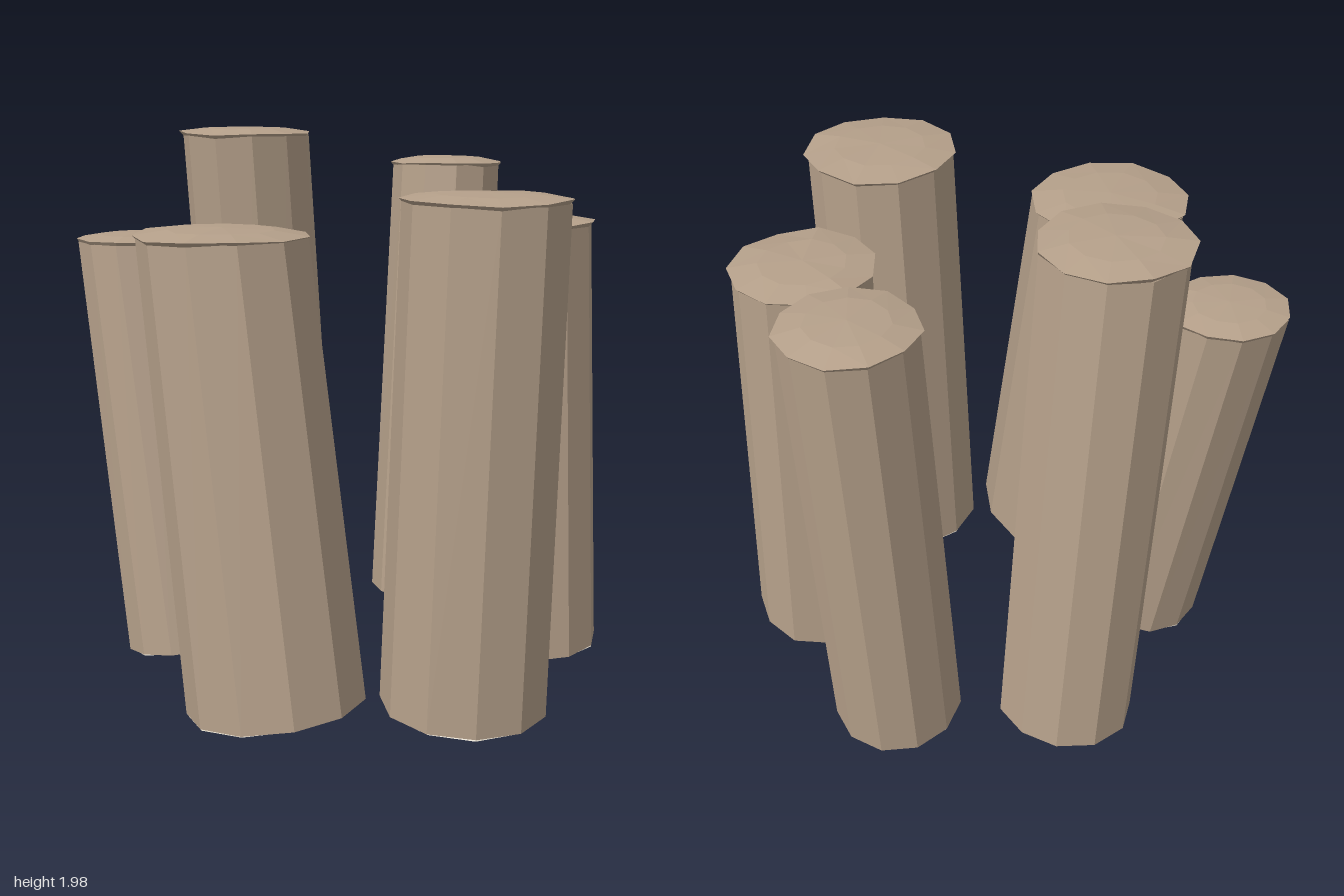
import * as THREE from 'three';

const SIDES = 11;
const flat = (name, color) => {
  const m = new THREE.MeshStandardMaterial({ color, flatShading: true, side: THREE.DoubleSide });
  m.name = name;
  return m;
};

// repeatable noise in -1..1
const noise = (n) => {
  const s = Math.sin(n * 127.1 + 11.7) * 43758.5453;
  return (s - Math.floor(s)) * 2 - 1;
};

// move every vertex by a rule, then give each face its own normal
function reshape(geometry, rule) {
  const p = geometry.attributes.position;
  const v = new THREE.Vector3();
  for (let i = 0; i < p.count; i++) {
    v.fromBufferAttribute(p, i);
    const a = (Math.atan2(v.x, v.z) / (Math.PI * 2)) * SIDES;
    rule(v, ((Math.round(a) % SIDES) + SIDES) % SIDES);
    p.setXYZ(i, v.x, v.y, v.z);
  }
  const g = geometry.toNonIndexed();
  g.computeVertexNormals();
  return g;
}

const lathe = (pts) => new THREE.LatheGeometry(pts.map(([x, y]) => new THREE.Vector2(x, y)), SIDES);

// one leaning pillar: level top, foot cut square to the lean
function pillar(name, top, rTop, foot, rFoot, turn, seed, stone, pale) {
  const group = new THREE.Group();
  group.name = name;
  const t = new THREE.Vector3(...top);
  const f = new THREE.Vector3(...foot);
  const lean = t.clone().sub(f);
  const slopeX = -lean.x / lean.y;
  const slopeZ = -lean.z / lean.y;
  const spin = new THREE.Vector3(0, 1, 0);
  const add = (part, geometry, material) => {
    const mesh = new THREE.Mesh(geometry, material);
    mesh.name = part;
    group.add(mesh);
  };

  // faceted shaft
  add('shaft', reshape(
    new THREE.CylinderGeometry(rTop * 0.965, rFoot * 0.99, 1, SIDES, 1, true),
    (v, k) => {
      const h = v.y + 0.5;
      const w = 1 + 0.02 * noise(seed + k);
      v.x *= w;
      v.z *= w;
      v.applyAxisAngle(spin, turn);
      const y = h > 0.5 ? t.y - 0.03 : f.y + v.x * slopeX + v.z * slopeZ;
      v.set(v.x + f.x + lean.x * h, y, v.z + f.z + lean.z * h);
    }), stone);

  // chipped, slightly domed cap
  add('topCap', reshape(
    lathe([[0, -0.045], [rTop * 0.93, -0.042], [rTop, -0.022], [rTop * 0.6, -0.006], [0, 0]]),
    (v, k) => {
      const reach = Math.hypot(v.x, v.z) / rTop;
      const w = 1 + 0.025 * noise(seed + k + 40) * reach;
      v.set(v.x * w, v.y + 0.007 * noise(seed + k + 70) * reach * reach, v.z * w);
      v.applyAxisAngle(spin, turn).add(t);
    }), stone);

  // pale, shallow base
  add('base', reshape(
    lathe([[0, -0.018], [rFoot * 0.6, -0.014], [rFoot * 0.97, -0.003], [rFoot * 0.9, 0.012]]),
    (v, k) => {
      const reach = Math.hypot(v.x, v.z) / rFoot;
      v.y += 0.005 * noise(seed + k + 90) * reach;
      v.applyAxisAngle(spin, turn);
      v.y += v.x * slopeX + v.z * slopeZ;
      v.add(f);
    }), pale);
  return group;
}

export function createModel() {
  const model = new THREE.Group();
  model.name = 'pillarRing';
  const stone = flat('tan stone', 0xb5a08a);
  const pale = flat('pale base', 0xd3ccbd);

  // name, top centre, top radius, foot centre, foot radius, turn
  const pillars = [
    ['backRightPillar', [-0.36, 1.995, -0.42], 0.255, [-0.25, 0.045, -0.57], 0.255, 0.1],
    ['rightPillar', [-0.785, 1.61, -0.2], 0.212, [-0.605, 0.06, 0.015], 0.225, 0.35],
    ['frontRightPillar', [-0.43, 1.69, 0.44], 0.3, [-0.27, 0.06, 0.59], 0.315, 0.2],
    ['frontLeftPillar', [0.43, 1.815, 0.61], 0.285, [0.39, 0.045, 0.585], 0.295, 0.0],
    ['leftPillar', [0.67, 1.69, -0.035], 0.258, [0.715, 0.045, 0.01], 0.272, 0.45],
    ['backLeftPillar', [0.46, 1.87, -0.69], 0.228, [0.39, 0.045, -0.56], 0.242, 0.05],
  ];
  pillars.forEach((p, i) => model.add(pillar(...p, i * 13 + 1, stone, pale)));
  return model;
}
